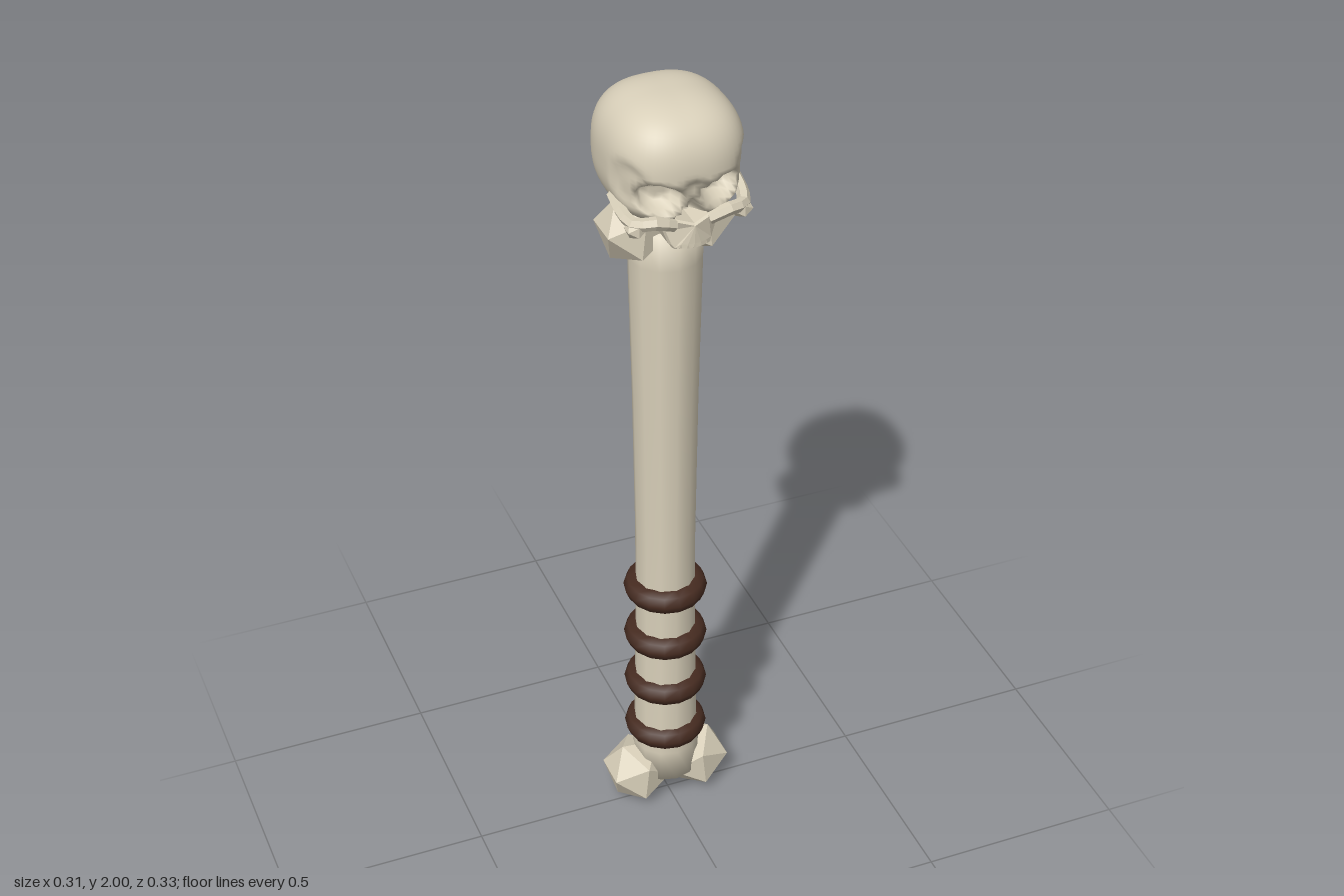
import * as THREE from 'three';
import { mergeVertices } from 'three/addons/utils/BufferGeometryUtils.js';

const SHAFT_Z = -0.015;

// Boxy rounded skull with eye sockets, nose hole and cheeks pressed into the front
function craniumGeometry() {
  let geo = new THREE.SphereGeometry(1, 64, 48);
  geo.deleteAttribute('uv');
  geo.deleteAttribute('normal');
  geo = mergeVertices(geo, 1e-4);
  const pos = geo.attributes.position;
  const v = new THREE.Vector3();
  const power = 2.6;
  const dent = (d) => 1 - THREE.MathUtils.smoothstep(d, 0.55, 1.1);
  for (let i = 0; i < pos.count; i++) {
    v.fromBufferAttribute(pos, i);
    const sum = Math.abs(v.x) ** power + Math.abs(v.y) ** power + Math.abs(v.z) ** power;
    v.multiplyScalar(sum ** (-1 / power));
    let x = v.x * 0.155, z = v.z * 0.167;
    const y = 1.857 + v.y * 0.143;
    if (z > 0.03) {
      const ax = Math.abs(x);
      // sockets lean down towards the nose
      const ey = y - 1.812 - (ax - 0.075) * 0.15;
      z -= 0.06 * dent(Math.hypot((ax - 0.075) / 0.055, ey / 0.04));
      // nose bridge and hole
      z -= 0.015 * dent(Math.hypot(x / 0.04, (y - 1.82) / 0.04));
      z -= 0.045 * dent(Math.hypot(x / (0.012 + Math.max(0, 1.795 - y) * 0.6), (y - 1.77) / 0.032));
      // hollows under the cheeks
      z -= 0.035 * dent(Math.hypot((ax - 0.085) / 0.05, (y - 1.725) / 0.025));
      // temples
      x -= Math.sign(x) * 0.012 * dent(Math.hypot((z - 0.1) / 0.05, (y - 1.84) / 0.06));
    }
    pos.setXYZ(i, x, y, z);
  }
  geo.computeVertexNormals();
  return geo;
}

// Upper jaw with a toothed lower edge
function jawGeometry() {
  const s = new THREE.Shape();
  s.moveTo(-0.035, 1.755);
  s.lineTo(-0.058, 1.73);
  s.lineTo(-0.048, 1.7);
  const teeth = 6;
  for (let i = 0; i < teeth; i++) {
    const x = -0.042 + i * 0.0145;
    s.lineTo(x, 1.692);
    s.lineTo(x + 0.009, 1.692);
    s.lineTo(x + 0.012, 1.702);
  }
  s.lineTo(0.058, 1.73);
  s.lineTo(0.035, 1.755);
  s.lineTo(0, 1.745);
  const geo = new THREE.ExtrudeGeometry(s, {
    depth: 0.075, bevelEnabled: true, bevelSize: 0.004, bevelThickness: 0.006, bevelSegments: 1,
  });
  geo.translate(0, 0, 0.078);
  // curve the front of the jaw back towards its sides
  const pos = geo.attributes.position;
  for (let i = 0; i < pos.count; i++) {
    if (pos.getZ(i) > 0.1) pos.setZ(i, pos.getZ(i) - 8 * pos.getX(i) ** 2);
  }
  geo.computeVertexNormals();
  return geo;
}

export function createModel() {
  const group = new THREE.Group();
  const bone = new THREE.MeshStandardMaterial({ color: 0xd8cfb9 });
  bone.name = 'bone';
  const boneFaceted = bone.clone();
  boneFaceted.flatShading = true;
  boneFaceted.name = 'boneFaceted';
  const leather = new THREE.MeshStandardMaterial({ color: 0x472c21 });
  leather.name = 'leather';

  const add = (name, geo, mat, x = 0, y = 0, z = 0) => {
    const mesh = new THREE.Mesh(geo, mat);
    mesh.name = name;
    mesh.position.set(x, y, z);
    group.add(mesh);
    return mesh;
  };

  // Shaft, slightly waisted and flared at both ends
  const profile = [
    [0, 0.08], [0.078, 0.08], [0.083, 0.17], [0.078, 0.25], [0.074, 0.5], [0.072, 0.8],
    [0.077, 1.2], [0.085, 1.58], [0.087, 1.67], [0, 1.67],
  ].map(([r, y]) => new THREE.Vector2(r, y));
  add('shaft', new THREE.LatheGeometry(profile, 12), bone, 0, 0, SHAFT_Z);

  // Knuckles at both ends
  for (const [end, y] of [['lower', 0.081], ['upper', 1.666]]) {
    for (const side of [-1, 1]) {
      const knob = add(end + (side > 0 ? 'LeftKnuckle' : 'RightKnuckle'),
        new THREE.IcosahedronGeometry(0.087, 0), boneFaceted, side * 0.077, y, SHAFT_Z);
      knob.rotation.z = side * 0.1;
    }
  }

  // Wrapped grip rings
  for (let i = 0; i < 4; i++) {
    const ring = add('gripRing' + (i + 1), new THREE.TorusGeometry(0.071, 0.03, 8, 16),
      leather, 0, 0.218 + i * 0.144, SHAFT_Z);
    ring.rotation.x = Math.PI / 2;
  }

  // Skull
  add('cranium', craniumGeometry(), bone);
  add('upperJaw', jawGeometry(), boneFaceted);
  for (const side of [-1, 1]) {
    const path = new THREE.CatmullRomCurve3([
      [0.04, 1.745, 0.138], [0.085, 1.762, 0.145], [0.125, 1.757, 0.125],
      [0.137, 1.765, 0.09], [0.138, 1.785, 0.03],
    ].map(([x, y, z]) => new THREE.Vector3(side * x, y, z)));
    add(side > 0 ? 'leftCheekbone' : 'rightCheekbone',
      new THREE.TubeGeometry(path, 8, 0.015, 6), boneFaceted);
    // Cheek corner hanging below the socket
    const corner = add(side > 0 ? 'leftCheekCorner' : 'rightCheekCorner',
      new THREE.IcosahedronGeometry(0.026, 0), boneFaceted, side * 0.122, 1.745, 0.122);
    corner.scale.set(1, 0.9, 1);
  }
  return group;
}
